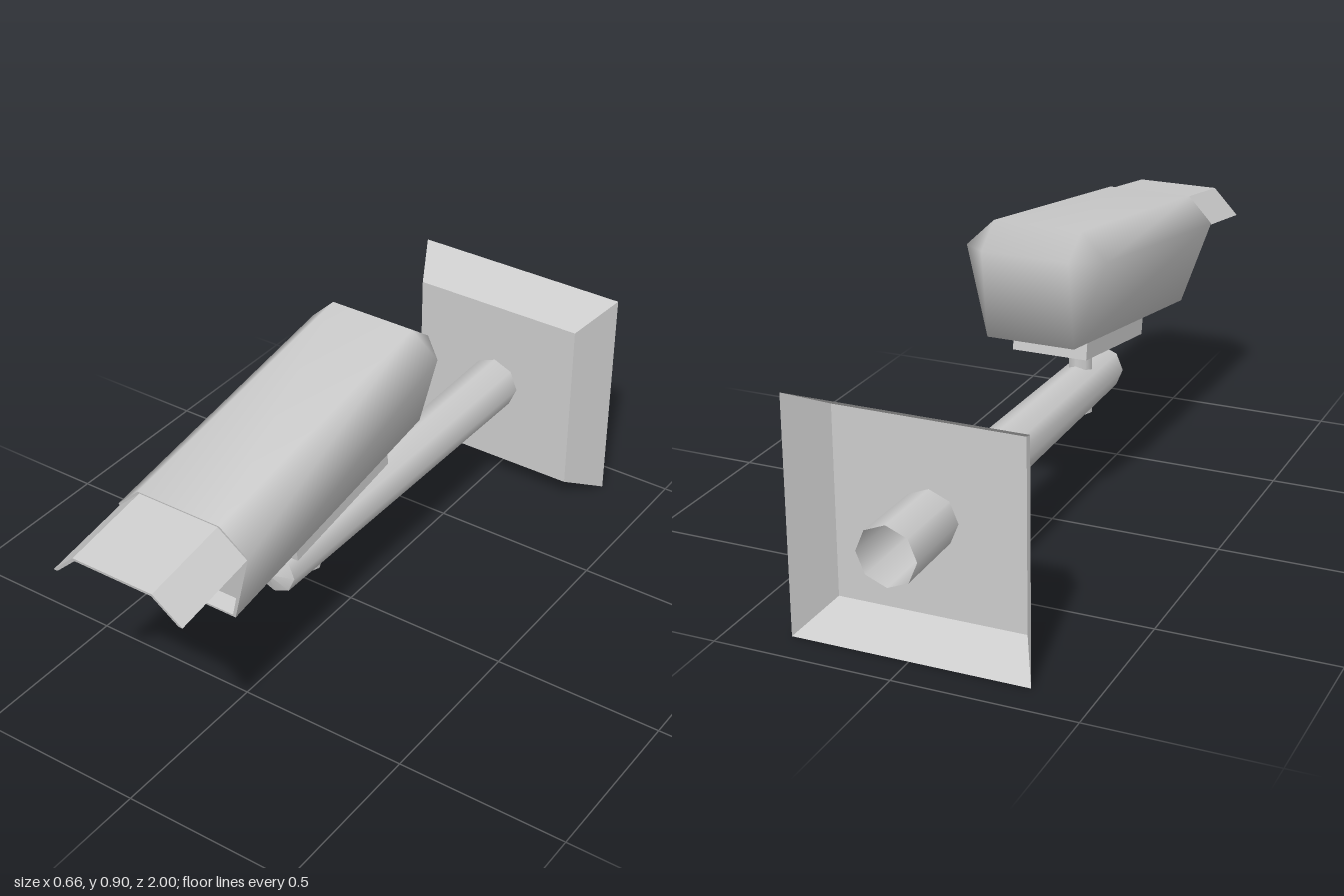
import * as THREE from 'three';

const material = new THREE.MeshStandardMaterial({ color: 0xcccccc, side: THREE.DoubleSide });

// Mesh from corner points and polygons, each polygon split as a fan.
function polyMesh(name, points, faces, smooth) {
  const index = [];
  for (const f of faces)
    for (let i = 1; i < f.length - 1; i++) index.push(f[0], f[i], f[i + 1]);
  let geo = new THREE.BufferGeometry();
  geo.setAttribute('position', new THREE.Float32BufferAttribute(points.flat(), 3));
  geo.setIndex(index);
  if (!smooth) geo = geo.toNonIndexed();
  geo.computeVertexNormals();
  return named(name, geo);
}

function named(name, geo) {
  const m = new THREE.Mesh(geo, material);
  m.name = name;
  return m;
}

// Quads joining successive rings of n points, from front to back.
function loft(n, rings) {
  const faces = [];
  for (let r = 0; r < rings - 1; r++)
    for (let i = 0; i < n; i++) {
      const j = (i + 1) % n, a = r * n, b = a + n;
      faces.push([a + i, b + i, b + j, a + j]);
    }
  return faces;
}

// Six-sided housing section, counter-clockwise from the front.
const section = (bottomX, midX, topX, bottomY, midY, topY, z) => [
  [-bottomX, bottomY, z], [bottomX, bottomY, z], [midX, midY, z],
  [topX, topY, z], [-topX, topY, z], [-midX, midY, z],
];

const rect = (x, y0, y1, z) => [[-x, y0, z], [x, y0, z], [x, y1, z], [-x, y1, z]];

function createCameraHead() {
  const head = new THREE.Group();
  head.name = 'cameraHead';

  // Housing: straight hexagonal shell with a wedge at the rear.
  const outer = section(0.127, 0.203, 0.127, -0.32, -0.075, 0, 0);
  const rear = section(0.127, 0.203, 0.127, -0.32, -0.075, 0, -0.855);
  const wedge = [[0.125, -0.075, -0.93], [-0.125, -0.075, -0.93]];
  const rearFaces = [[7, 12, 8], [8, 12, 9], [9, 12, 13, 10], [10, 13, 11], [11, 13, 6], [7, 6, 13, 12]];
  head.add(polyMesh('housing', [...outer, ...rear, ...wedge], [...loft(6, 2), ...rearFaces], true));

  // Front rim, recess and window panel.
  const lip = section(0.12, 0.19, 0.12, -0.313, -0.078, -0.01, 0);
  const panel = section(0.112, 0.15, 0.11, -0.313, -0.07, -0.02, -0.05);
  head.add(polyMesh('frontRecess', [...panel, ...lip, ...outer], loft(6, 3)));
  head.add(polyMesh('windowPanel', panel, [[0, 1, 2, 3, 4, 5]]));

  // Sun hood: thin folded sheet, narrowing slightly on top.
  const hoodShape = new THREE.Shape([
    [-0.2, -0.08], [-0.188, -0.08], [-0.118, -0.012], [0.118, -0.012],
    [0.188, -0.08], [0.2, -0.08], [0.122, -0.004], [-0.122, -0.004],
  ].map(([x, y]) => new THREE.Vector2(x, y)));
  const hood = new THREE.ExtrudeGeometry(hoodShape, { depth: 0.258, bevelEnabled: false });
  head.add(named('sunHood', hood));

  // Mounting block under the housing.
  const block = new THREE.BoxGeometry(0.22, 0.06, 0.43).translate(0, -0.348, -0.501);
  head.add(named('mountingBlock', block));

  head.position.set(0, 0.77, 0.745);
  head.rotation.x = 0.155;
  return head;
}

export function createModel() {
  const model = new THREE.Group();
  model.name = 'wallCamera';

  // Wall plate: bevelled shell, open at the back.
  const plate = [...rect(0.265, 0.067, 0.6, -0.77), ...rect(0.332, 0, 0.667, -0.9)];
  model.add(polyMesh('wallPlate', plate, [[0, 1, 2, 3], ...loft(4, 2)]));

  // Tapered hollow arm with a shallow pointed end.
  const arm = named('arm', new THREE.CylinderGeometry(0.068, 0.083, 1.365, 8, 1, true).rotateX(Math.PI / 2));
  arm.position.set(0, 0.335, -0.3175);
  const cap = named('armCap', new THREE.ConeGeometry(0.068, 0.024, 8, 1, true).rotateX(Math.PI / 2));
  cap.position.set(0, 0.335, 0.377);

  // Pivot post through the arm.
  const post = named('pivotPost', new THREE.CylinderGeometry(0.036, 0.036, 0.235, 8));
  post.position.set(0, 0.3745, 0.205);

  model.add(arm, cap, post, createCameraHead());
  return model;
}
